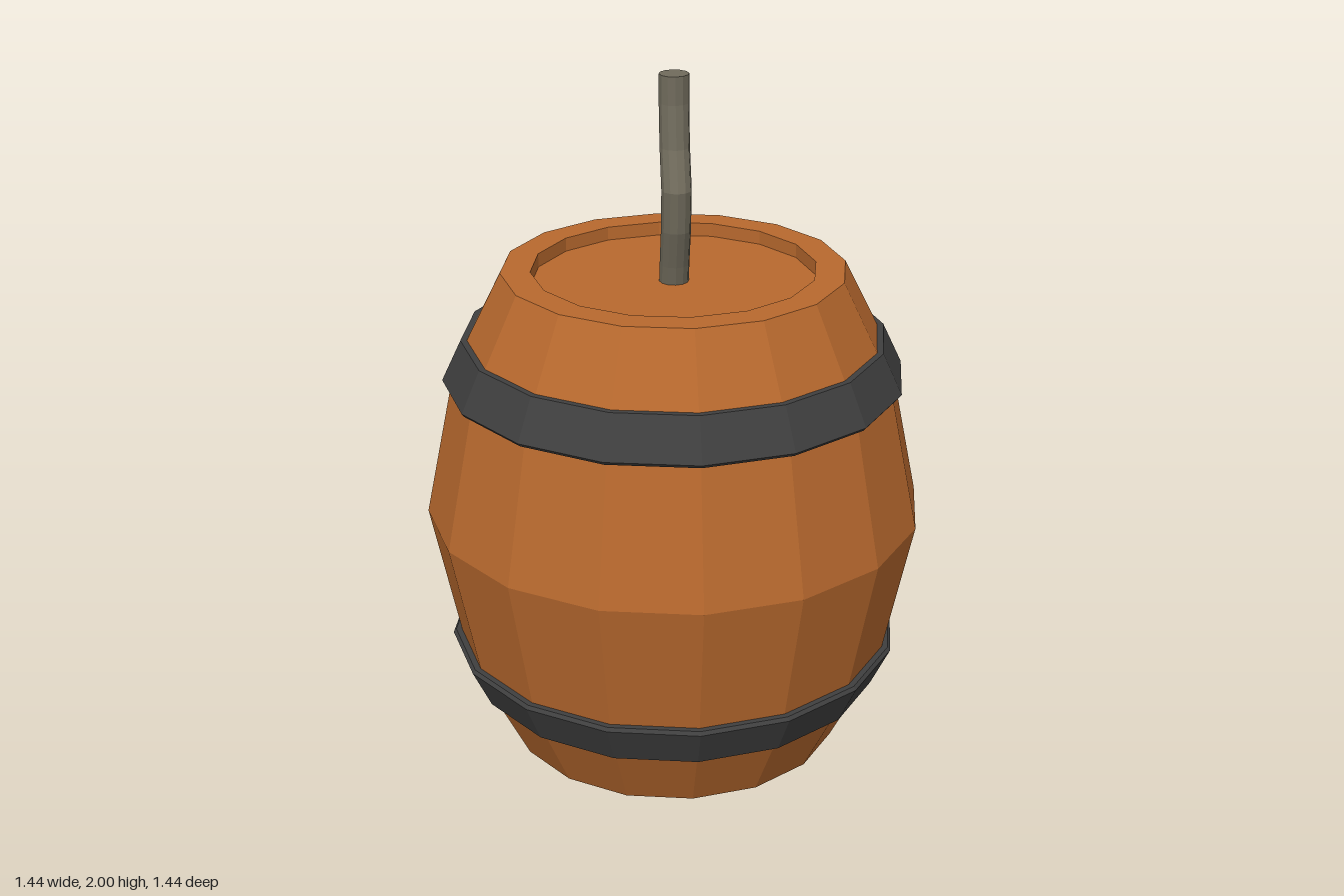
import * as THREE from 'three';

const SIDES = 16;
const HEIGHT = 1.445;

const material = (name, color) =>
  new THREE.MeshStandardMaterial({ name, color, flatShading: true });

// Faceted solid of revolution; the profile runs upward on its outer side
function turned(name, profile, mat) {
  const points = profile.map(([r, y]) => new THREE.Vector2(r, y));
  const geometry = new THREE.LatheGeometry(points, SIDES).toNonIndexed();
  geometry.computeVertexNormals();
  const mesh = new THREE.Mesh(geometry, mat);
  mesh.name = name;
  return mesh;
}

// Flip a profile top to bottom, keeping its upward direction
const flipped = (profile) => profile.map(([r, y]) => [r, HEIGHT - y]).reverse();

// Bent cord: a cylinder whose level rings are shifted along z
function buildFuse(mat) {
  const path = [[1.4, 0], [1.46, 0.015], [1.57, 0.05], [1.69, 0.064], [1.8, 0.02], [1.92, 0.001], [2, 0]];
  const steps = path.length - 1;
  const indexed = new THREE.CylinderGeometry(0.042, 0.042, 1, 12, steps);
  const pos = indexed.attributes.position;
  for (let i = 0; i < pos.count; i++) {
    const [y, z] = path[Math.round((pos.getY(i) + 0.5) * steps)];
    pos.setY(i, y);
    pos.setZ(i, pos.getZ(i) + z);
  }
  const geometry = indexed.toNonIndexed();
  geometry.computeVertexNormals();
  const mesh = new THREE.Mesh(geometry, mat);
  mesh.name = 'fuse';
  return mesh;
}

export function createModel() {
  const wood = material('wood', 0xb8692e);
  const iron = material('darkIron', 0x3f3f3f);
  const cord = material('cord', 0x706b5c);

  const group = new THREE.Group();
  group.name = 'barrel';

  // Body with a recessed lid at both ends
  const lowerBody = [[0, 0.04], [0.405, 0.04], [0.405, 0], [0.49, 0], [0.627, 0.273]];
  group.add(turned('body', [...lowerBody, [0.72, HEIGHT / 2], ...flipped(lowerBody)], wood));

  // Two mirrored hoops
  const hoop = [[0.58, 0.197], [0.607, 0.197], [0.663, 0.315], [0.655, 0.325], [0.625, 0.325], [0.58, 0.197]];
  group.add(turned('lowerHoop', hoop, iron));
  group.add(turned('upperHoop', flipped(hoop), iron));

  group.add(buildFuse(cord));
  return group;
}
